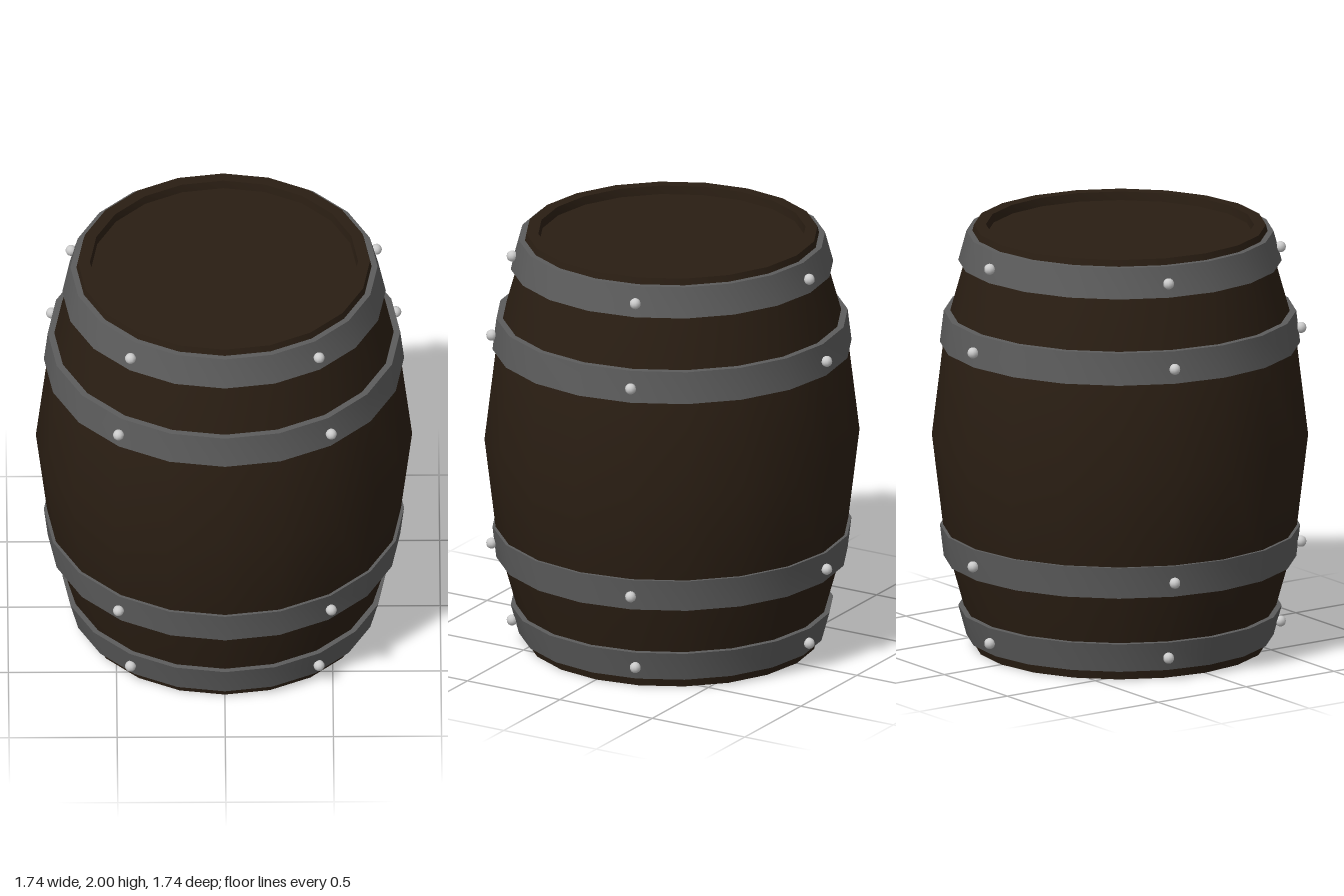
import * as THREE from 'three';
import { toCreasedNormals } from 'three/addons/utils/BufferGeometryUtils.js';

const SIDES = 20;
const wood = new THREE.MeshStandardMaterial({ color: 0x2a1e13 });
const iron = new THREE.MeshStandardMaterial({ color: 0x5c5c5c });
const steel = new THREE.MeshStandardMaterial({ color: 0xcccccc });

// Spins a profile of [radius, y] pairs, smooth around and sharp at the rims
function turned(name, profile, material) {
  const points = profile.map(([r, y]) => new THREE.Vector2(r, y));
  const geometry = toCreasedNormals(new THREE.LatheGeometry(points, SIDES), Math.PI / 6);
  const mesh = new THREE.Mesh(geometry, material);
  mesh.name = name;
  return mesh;
}

export function createModel() {
  const barrel = new THREE.Group();
  barrel.name = 'barrel';

  // Bulging staves with a recessed head at each end
  const lowerHalf = [[0, 0.04], [0.615, 0.04], [0.62, 0], [0.675, 0], [0.715, 0.16], [0.81, 0.5]];
  const upperHalf = lowerHalf.map(([r, y]) => [r, 2 - y]).reverse();
  barrel.add(turned('barrelBody', [...lowerHalf, [0.87, 1], ...upperHalf], wood));

  // Hoops: bottom and top edge as radius and height, with five rivets each
  const hoops = [
    { name: 'bottomHoop', r0: 0.71, y0: 0.045, r1: 0.748, y1: 0.185 },
    { name: 'lowerHoop', r0: 0.815, y0: 0.42, r1: 0.833, y1: 0.57 },
    { name: 'upperHoop', r0: 0.833, y0: 1.44, r1: 0.815, y1: 1.59 },
    { name: 'topHoop', r0: 0.748, y0: 1.83, r1: 0.71, y1: 1.97 },
  ];
  const rivetGeometry = new THREE.SphereGeometry(0.026, 10, 8);

  for (const { name, r0, y0, r1, y1 } of hoops) {
    const group = new THREE.Group();
    group.name = name;
    const t = 0.06;
    group.add(turned(name + 'Band', [[r0 - t, y0], [r0, y0], [r1, y1], [r1 - t, y1], [r0 - t, y0]], iron));

    const radius = (r0 + r1) / 2 + 0.013;
    for (let i = 0; i < 5; i++) {
      const angle = Math.PI + (i * Math.PI * 2) / 5;
      const rivet = new THREE.Mesh(rivetGeometry, steel);
      rivet.name = 'rivet';
      rivet.position.set(Math.sin(angle) * radius, (y0 + y1) / 2 - 0.005, Math.cos(angle) * radius);
      group.add(rivet);
    }
    barrel.add(group);
  }
  return barrel;
}
